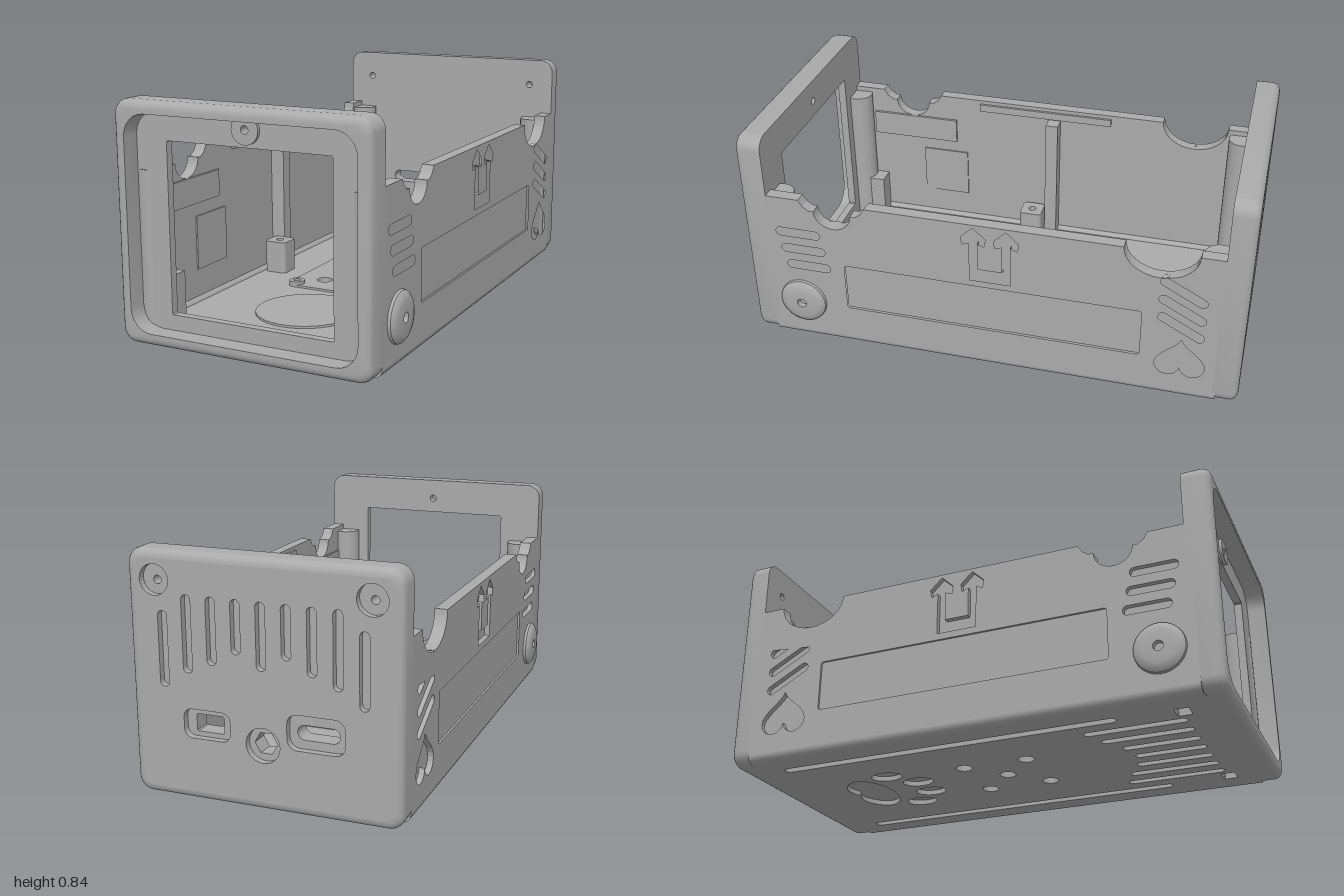
import * as THREE from 'three';
import { toCreasedNormals } from 'three/addons/utils/BufferGeometryUtils.js';

const L = 1.84, W = 0.95, H = 0.84, WALL = 0.615;
const plastic = new THREE.MeshStandardMaterial({ color: 0xaaaaaa });
plastic.name = 'grey plastic';

// --- outlines as lists of [x, y] ---
const ellipse = (x, y, rx, ry = rx, n = 28) => Array.from({ length: n }, (_, i) => {
  const a = (i / n) * Math.PI * 2;
  return [x + rx * Math.cos(a), y + ry * Math.sin(a)];
});
function rrect(x, y, w, h, r, n = 6, turn = 0) {
  const out = [];
  [[1, 1], [-1, 1], [-1, -1], [1, -1]].forEach(([sx, sy], q) => {
    for (let i = 0; i <= n; i++) {
      const a = (q + i / n) * Math.PI / 2;
      const px = sx * (w / 2 - r) + r * Math.cos(a), py = sy * (h / 2 - r) + r * Math.sin(a);
      out.push([x + px * Math.cos(turn) - py * Math.sin(turn), y + px * Math.sin(turn) + py * Math.cos(turn)]);
    }
  });
  return out;
}
const slot = (x, y, len, wid, turn = 0) => rrect(x, y, len, wid, wid / 2 - 0.0005, 5, turn);
const heart = (x, y, k) => Array.from({ length: 40 }, (_, i) => {
  const t = (i / 40) * Math.PI * 2;
  return [x + k * 16 * Math.sin(t) ** 3,
    y - k * (13 * Math.cos(t) - 5 * Math.cos(2 * t) - 2 * Math.cos(3 * t) - Math.cos(4 * t))];
});

// Plate with holes; flip mirrors the outline in x
function plate(outline, holes, depth, flip = 1) {
  const v = (pts) => pts.map(([x, y]) => new THREE.Vector2(x * flip, y));
  const s = new THREE.Shape(v(outline));
  holes.forEach((h) => s.holes.push(new THREE.Path(v(h))));
  return new THREE.ExtrudeGeometry(s, { depth, bevelEnabled: false });
}
function add(parent, name, geometry, x = 0, y = 0, z = 0) {
  const m = new THREE.Mesh(geometry, plastic);
  m.name = name;
  m.position.set(x, y, z);
  parent.add(m);
  return m;
}

// Skin through rounded rectangles given as [depth, inset, corner radius]
function frameSkin(steps) {
  const pos = [], idx = [];
  let n = 0;
  steps.forEach(([z, inset, r]) => {
    const ring = rrect(0, H / 2, W - 2 * inset, H - 2 * inset, r);
    n = ring.length;
    ring.forEach(([x, y]) => pos.push(x, y, z));
  });
  for (let j = 0; j < steps.length - 1; j++) for (let i = 0; i < n; i++) {
    const a = j * n + i, b = j * n + (i + 1) % n;
    idx.push(a, b, b + n, a, b + n, a + n);
  }
  const g = new THREE.BufferGeometry();
  g.setAttribute('position', new THREE.Float32BufferAttribute(pos, 3));
  g.setIndex(idx);
  return toCreasedNormals(g, 0.6);
}
const roundOver = (t, r) => [0, 1, 2, 3, 4, 5].map((i) => {
  const a = (i / 5) * Math.PI / 2;
  return [t - r + r * Math.sin(a), r - r * Math.cos(a), 0.05 - 0.6 * (r - r * Math.cos(a))];
});

// Front: rounded rim around a set-back plate with the window
function frontPanel() {
  const g = new THREE.Group();
  g.name = 'frontPanel';
  add(g, 'frontRim', frameSkin([[0, 0.045, 0.08], [0, 0, 0.05], ...roundOver(0.1, 0.03),
    [0.1, 0.045, 0.08], [0.03, 0.045, 0.08]]));
  add(g, 'windowPlate', plate(rrect(0, H / 2, W - 0.088, H - 0.088, 0.08),
    [rrect(0, 0.4, 0.62, 0.6, 0.004, 1), ellipse(0, 0.76, 0.014)], 0.03));
  add(g, 'screwRing', plate(ellipse(0, 0.76, 0.05), [ellipse(0, 0.76, 0.014)], 0.012), 0, 0, 0.03);
  g.position.z = L / 2 - 0.1;
  return g;
}

// Back: vents, ports and screw recesses cut in the outer layer
function backPanel() {
  const g = new THREE.Group();
  g.name = 'backPanel';
  add(g, 'backEdge', frameSkin([[0, 0.03, 0.03], [0, 0, 0.05], ...roundOver(0.09, 0.03)]));
  const ranges = [[0.475, 0.7], [0.52, 0.7], [0.475, 0.7], [0.44, 0.7], [0.385, 0.64]];
  const cuts = [rrect(-0.2, 0.268, 0.168, 0.1, 0.03), rrect(0.185, 0.285, 0.2, 0.12, 0.035), ellipse(0, 0.225, 0.06)];
  for (let i = -4; i <= 4; i++) {
    const [lo, hi] = ranges[Math.abs(i)];
    cuts.push(slot(i * 0.0874, (lo + hi) / 2, hi - lo, 0.033, Math.PI / 2));
  }
  const through = [rrect(-0.2, 0.265, 0.1, 0.06, 0.004, 1), slot(0.185, 0.28, 0.147, 0.05), ellipse(0, 0.225, 0.04, 0.04, 6)];
  for (const s of [-1, 1]) {
    cuts.push(ellipse(s * 0.375, 0.74, 0.052));
    through.push(ellipse(s * 0.375, 0.735, 0.014));
  }
  add(g, 'backOuterLayer', plate(rrect(0, H / 2, W - 0.06, H - 0.06, 0.032), cuts, 0.025), 0, 0, 0.065);
  add(g, 'backInnerLayer', plate(rrect(0, H / 2, W - 0.02, H - 0.02, 0.04), through, 0.065));
  g.rotation.y = Math.PI;
  g.position.z = -(L / 2 - 0.09);
  return g;
}

// Side wall drawn in (z, y); side is +1 or -1
function sideWall(side) {
  const g = new THREE.Group();
  g.name = side > 0 ? 'leftWall' : 'rightWall';
  const arc = (zc, y0, r, d) => Array.from({ length: 17 }, (_, i) => {
    const a = (i / 16) * Math.PI;
    return [zc + r * Math.cos(a), y0 - d * Math.sin(a)];
  });
  const step = [[0.125, WALL], [0.11, 0.59], [0.088, 0.575]];
  const top = [[0.84, WALL], ...step.map(([z, y]) => [0.57 + z, y]), ...arc(0.57, 0.575, 0.07, 0.065),
    ...step.reverse().map(([z, y]) => [0.57 - z, y]), ...arc(-0.615, WALL, 0.13, 0.105), [-0.84, WALL]];
  const outline = (y0) => [[-0.84, y0], [0.84, y0], ...top];

  const half = [[0.075, 0.38], [0.075, 0.54], [0.1, 0.53], [0.105, 0.56], [0.06, 0.603], [0.015, 0.56],
    [0.02, 0.53], [0.045, 0.54], [0.045, 0.43]];
  const fork = [...half, ...half.map(([z, y]) => [-z, y]).reverse()].map(([z, y]) => [z - 0.015, y]);
  const label = rrect(-0.01, 0.26, 1.1, 0.19, 0.01);
  const cuts = [fork, label, heart(-0.705, 0.165, 0.0056)];
  for (let i = 0; i < 3; i++) {
    cuts.push(slot(0.71 - i * 0.015, 0.47 - i * 0.07, 0.17, 0.035));
    cuts.push(slot(-0.7, 0.462 - i * 0.075, 0.185, 0.035, 0.49));
  }
  const layer = (name, pts, holes, depth, x) =>
    add(g, name, plate(pts, holes, depth, -side).rotateY(side * Math.PI / 2), side * x);
  layer('wallOuterLayer', outline(0.03), cuts, 0.02, W / 2 - 0.02);
  layer('wallInnerLayer', outline(0.02), [], 0.025, W / 2 - 0.045);
  layer('labelPanel', label, [], 0.012, W / 2 - 0.02);
  add(g, 'roundedBottomEdge', new THREE.CylinderGeometry(0.03, 0.03, 1.68, 24).rotateX(Math.PI / 2), side * (W / 2 - 0.03), 0.03);

  // Domed foot with a screw hole
  const dome = [[0.09, 0], [0.088, 0.01], [0.076, 0.02], [0.06, 0.025], [0.018, 0.025], [0.018, 0.003], [0, 0.003]]
    .map(([r, h]) => new THREE.Vector2(r, h));
  add(g, 'sideButton', toCreasedNormals(new THREE.LatheGeometry(dome, 36).rotateZ(-side * Math.PI / 2), 0.6),
    side * W / 2, 0.17, 0.715);

  // Inside: thin pads, corner columns, standoff and clip block
  const box = (name, w, h, d, x, y, z) => add(g, name, new THREE.BoxGeometry(w, h, d), side * x, y, z);
  const inner = W / 2 - 0.045;
  box('innerPad', 0.012, 0.2, 0.19, inner, 0.26, 0.43);
  box('notchPad', 0.02, 0.1, 0.36, inner, 0.46, 0.56);
  box('topLedge', 0.02, 0.03, 0.55, inner, 0.585, 0.0);
  for (const z of [0.8, -0.805])
    add(g, 'cornerColumn', toCreasedNormals(new THREE.CylinderGeometry(0.055, 0.055, 0.56, 24), 0.6), side * 0.405, 0.315, z);
  box('wallPost', 0.06, 0.53, 0.05, 0.405, 0.3, -0.04);
  box('clipBlock', 0.09, 0.18, 0.06, 0.405, 0.12, 0.73);
  add(g, 'standoff', plate(rrect(0, 0, 0.09, 0.09, 0.015), [ellipse(0, 0, 0.015)], 0.13).rotateX(-Math.PI / 2), side * 0.365, 0.035, 0.035);
  return g;
}

// Floor drawn in (x, -z)
function floor() {
  const g = new THREE.Group();
  g.name = 'floor';
  const rect = rrect(0, 0, W - 0.06, 1.69, 0.005, 1);
  const holes = [[0, 0.015], ...[-1, 1].flatMap((s) => [[s * 0.123, 0.138], [s * 0.123, -0.108]])]
    .map(([x, y]) => ellipse(x, y, 0.03));
  const squares = [-1, 1].map((s) => rrect(s * 0.33, -0.742, 0.06, 0.05, 0.003, 1));
  // Paw-shaped pad with two lobes toward the back
  const pad = ellipse(0, 0.58, 0.145, 0.085, 36).map(([x, y]) =>
    [x, y > 0.58 ? y - 0.025 * Math.max(0, 1 - Math.abs(x) / 0.06) : y]);
  const cuts = [pad];
  for (const s of [-1, 1]) {
    cuts.push(ellipse(s * 0.15, 0.445, 0.042, 0.06), ellipse(s * 0.056, 0.36, 0.042, 0.06));
    cuts.push(slot(s * 0.35, 0.12, 1.28, 0.035, Math.PI / 2));
  }
  for (let i = -3; i <= 3; i++) {
    const z0 = [0.48, 0.46, 0.41, 0.375][Math.abs(i)];
    cuts.push(slot(i * 0.087, -(z0 + 0.74) / 2, 0.74 - z0, 0.033, Math.PI / 2));
  }
  const lay = (name, pts, hs, d, y) => add(g, name, plate(pts, hs, d).rotateX(-Math.PI / 2), 0, y);
  lay('floorOuterLayer', rect, [...holes, ...squares, ...cuts], 0.018, 0);
  lay('floorInnerLayer', rect, [...holes, ...squares], 0.022, 0.018);
  const screws = [[0.2, 0.23], [-0.2, -0.19]].map(([x, y]) => ellipse(x, y, 0.014));
  lay('mountingPlate', rrect(0, 0.015, 0.47, 0.47, 0.04), [...holes, ...screws], 0.008, 0.04);
  for (const [x, y] of [[0.2, 0.23], [-0.2, -0.19]])
    lay('mountingRing', ellipse(x, y, 0.03), [ellipse(x, y, 0.014)], 0.02, 0.04);
  lay('roundBase', ellipse(-0.005, -0.46, 0.185, 0.185, 48), [], 0.008, 0.04);
  // Rear standoff with its rib
  lay('rearStandoff', rrect(0, 0.69, 0.08, 0.08, 0.015), [ellipse(0, 0.69, 0.014)], 0.1, 0.035);
  add(g, 'rearRib', new THREE.BoxGeometry(0.13, 0.08, 0.05), 0, 0.075, -0.81);
  return g;
}

export function createModel() {
  const model = new THREE.Group();
  model.name = 'case';
  const body = new THREE.Group();
  body.name = 'caseBody';
  body.add(frontPanel(), backPanel(), sideWall(1), sideWall(-1), floor());
  body.rotation.y = -0.689; // the case stands turned on its base
  model.add(body);
  return model;
}
